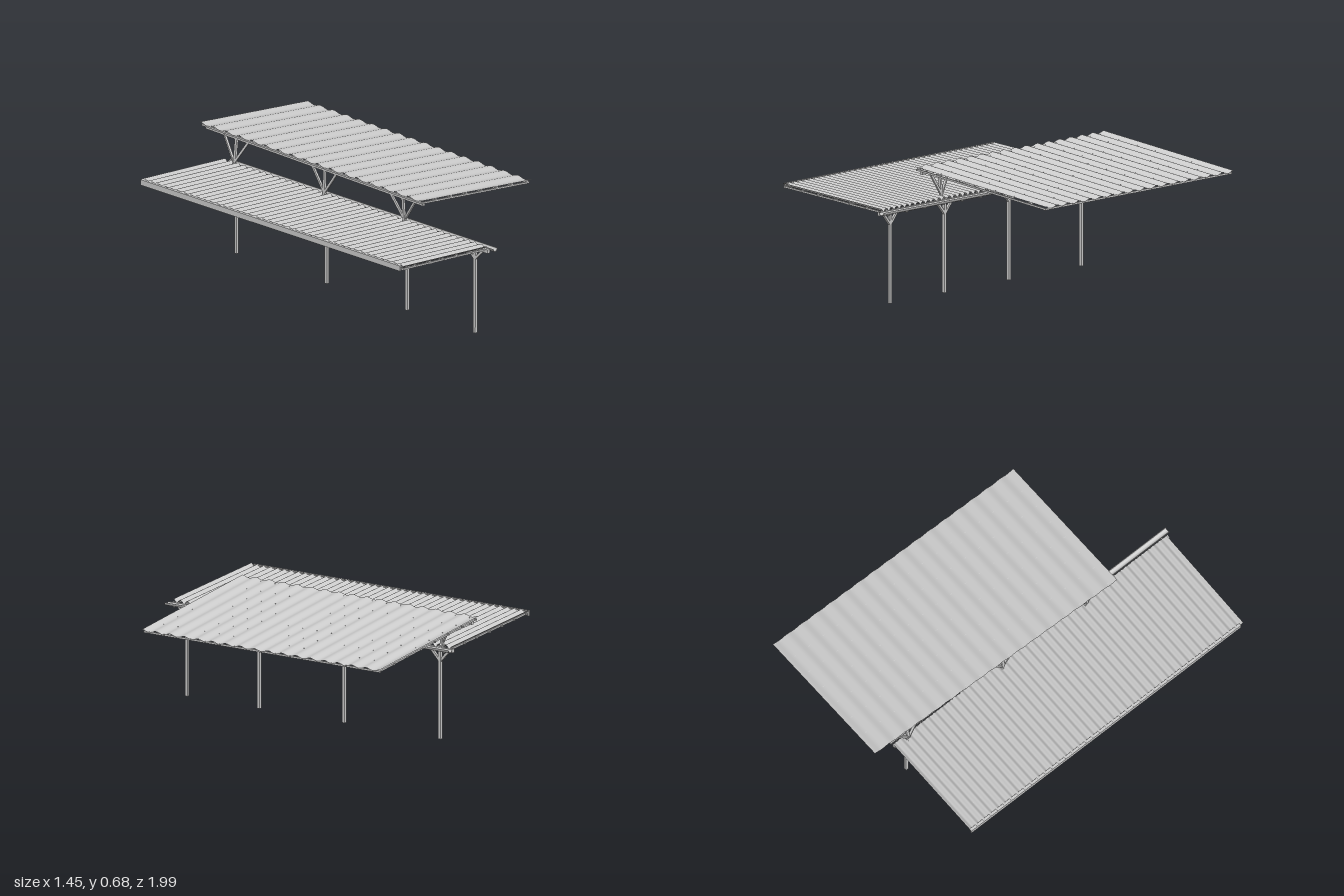
import * as THREE from 'three';

const V = (x, y, z) => new THREE.Vector3(x, y, z);
const mat = new THREE.MeshStandardMaterial({ color: 0xcccccc, side: THREE.DoubleSide });

// square bar running from a to b
function bar(name, a, b, w, h = w) {
  const mesh = new THREE.Mesh(new THREE.BoxGeometry(w, h, a.distanceTo(b)), mat);
  mesh.position.copy(a).lerp(b, 0.5);
  mesh.lookAt(b);
  mesh.name = name;
  return mesh;
}

// point on a sloping roof: u across the slope (0..1), v from back to front (0..1)
function roofPoint(c, u, v, drop = 0) {
  const back = c.backLeft.clone().lerp(c.backRight, u);
  const front = c.frontLeft.clone().lerp(c.frontRight, u);
  const p = back.lerp(front, v);
  p.y -= drop;
  return p;
}

// corrugated sheet with its ridges running down the slope
function sheet(name, c, waves, amp) {
  const geo = new THREE.PlaneGeometry(1, 1, 2, waves * 10);
  const pos = geo.attributes.position;
  for (let i = 0; i < pos.count; i++) {
    const u = pos.getX(i) + 0.5, v = 0.5 - pos.getY(i);
    const p = roofPoint(c, u, v, -amp * Math.cos(v * waves * Math.PI * 2));
    pos.setXYZ(i, p.x, p.y, p.z);
  }
  geo.computeVertexNormals();
  const mesh = new THREE.Mesh(geo, mat);
  mesh.name = name;
  return mesh;
}

// sheet plus purlins along z and rafters at the given z positions
function roof(name, c, { waves, amp, purlins, rafters, depth }) {
  const g = new THREE.Group();
  g.name = name;
  g.add(sheet('corrugatedSheet', c, waves, amp));
  const drop = amp + depth / 2;
  for (let i = 0; i < purlins; i++) {
    const u = 0.015 + 0.97 * i / (purlins - 1);
    g.add(bar('purlin', roofPoint(c, u, 0.003, drop), roofPoint(c, u, 0.997, drop), 0.01, depth));
  }
  const zb = c.backLeft.z, zf = c.frontLeft.z;
  for (const z of rafters) {
    const v = (z - zb) / (zf - zb);
    g.add(bar('rafter', roofPoint(c, 0.01, v, drop), roofPoint(c, 0.99, v, drop), 0.01, depth * 0.9));
  }
  return g;
}

// open half-round gutter along z
function gutter(x, y, r, z0, z1) {
  const s = new THREE.Shape();
  s.absarc(0, 0, r, Math.PI, Math.PI * 2, false);
  s.lineTo(r - 0.003, 0);
  s.absarc(0, 0, r - 0.003, Math.PI * 2, Math.PI, true);
  const geo = new THREE.ExtrudeGeometry(s, { depth: z1 - z0, bevelEnabled: false, curveSegments: 8 });
  const mesh = new THREE.Mesh(geo, mat);
  mesh.position.set(x, y, z0);
  mesh.name = 'gutter';
  return mesh;
}

export function createModel() {
  const model = new THREE.Group();
  model.name = 'shelter';
  const posts = [0.88, 0.41, -0.145, -0.77];
  const px = -0.086;

  // roofs
  const low = {
    backLeft: V(-0.725, 0.573, -0.86), backRight: V(-0.08, 0.495, -0.855),
    frontLeft: V(-0.725, 0.573, 0.953), frontRight: V(-0.08, 0.495, 0.965),
  };
  const high = {
    backLeft: V(-0.112, 0.672, -1), backRight: V(0.725, 0.537, -1),
    frontLeft: V(-0.157, 0.666, 0.575), frontRight: V(0.693, 0.529, 0.575),
  };
  model.add(roof('lowerRoof', low, { waves: 40, amp: 0.008, purlins: 7, rafters: [0.94, ...posts, -0.84], depth: 0.01 }));
  model.add(roof('upperRoof', high, { waves: 17, amp: 0.005, purlins: 8, rafters: [0.565, ...posts.slice(1), -0.985], depth: 0.01 }));

  // edge board and lip on the high side of the lower roof
  model.add(bar('edgeBoard', V(-0.727, 0.563, -0.86), V(-0.727, 0.563, 0.935), 0.005, 0.03));
  model.add(bar('edgeLip', V(-0.72, 0.575, -0.86), V(-0.72, 0.575, 0.935), 0.012, 0.006));

  // main beam and gutter
  model.add(bar('mainBeam', V(px, 0.477, -0.855), V(px, 0.477, 0.975), 0.02, 0.02));
  model.add(gutter(-0.056, 0.488, 0.017, -0.858, 0.993));
  for (let i = 0; i < 12; i++) {
    const z = -0.82 + i * 0.16;
    model.add(bar('gutterBracket', V(-0.08, 0.471, z), V(-0.048, 0.469, z), 0.007, 0.006));
  }

  // beam carrying the upper roof
  const hb = roofPoint(high, 0.04, 0.01, 0.023), hf = roofPoint(high, 0.04, 0.99, 0.023);
  model.add(bar('upperBeam', hb, hf, 0.016, 0.016));

  // posts with branching braces
  posts.forEach((z, i) => {
    const g = new THREE.Group();
    g.name = 'postAssembly';
    g.add(bar('post', V(px, 0, z), V(px, 0.49, z), 0.016));
    for (const s of [-1, 1])
      g.add(bar('lowerBrace', V(px, 0.412, z), V(px, 0.47, z + s * 0.055), 0.013));
    if (i > 0) {
      const x = hb.x + (hf.x - hb.x) * (z - hb.z) / (hf.z - hb.z);
      const top = hb.y + (hf.y - hb.y) * (z - hb.z) / (hf.z - hb.z);
      g.add(bar('bracket', V(-0.116, 0.48, z), V(-0.075, 0.48, z), 0.025, 0.03));
      g.add(bar('upperPost', V(-0.105, 0.465, z), V(x, top, z), 0.014));
      for (const s of [-1, 1])
        g.add(bar('upperBrace', V(-0.105, 0.51, z), V(x, top, z + s * 0.085), 0.012));
    }
    model.add(g);
  });
  return model;
}
